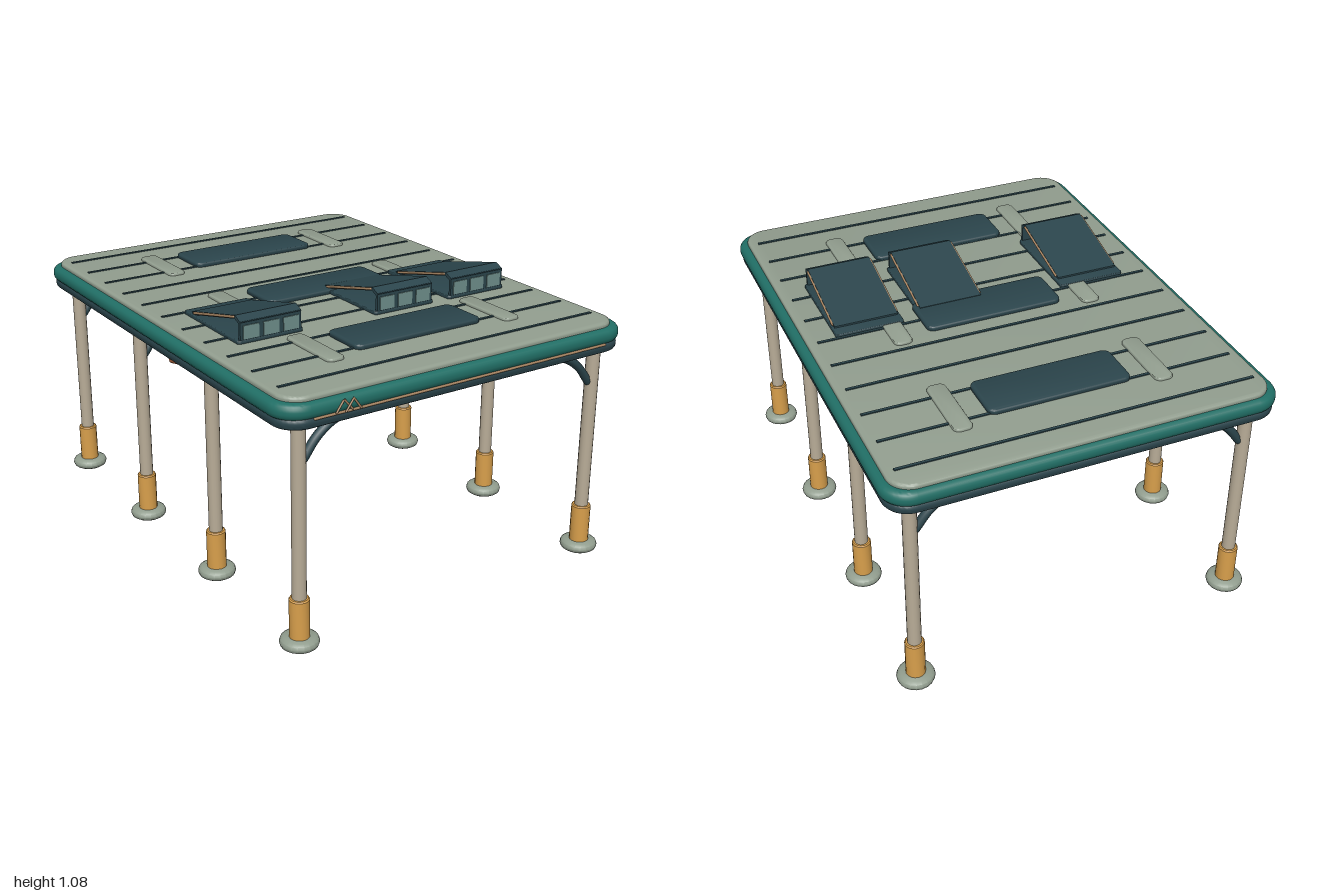
import * as THREE from 'three';
import { toCreasedNormals } from 'three/addons/utils/BufferGeometryUtils.js';

const material = (name, color) => new THREE.MeshStandardMaterial({ name, color });

export function createModel() {
  const model = new THREE.Group();
  model.name = 'canopy';
  const sage = material('sage', 0x929e8f);
  const teal = material('teal', 0x216f66);
  const slate = material('slate', 0x2b454c);
  const stone = material('stone', 0xb9ad98);
  const amber = material('amber', 0xd9a04c);
  const rust = material('rust', 0xb8683f);
  const glass = material('glass', 0x6f8f8b);
  const cord = material('cord', 0xa88562);

  const add = (parent, name, geometry, mat, x = 0, y = 0, z = 0) => {
    const mesh = new THREE.Mesh(geometry, mat);
    mesh.name = name;
    mesh.position.set(x, y, z);
    parent.add(mesh);
    return mesh;
  };

  // Horizontal slab with rounded corners and softened rim, standing on y = 0
  const slab = (w, d, h, r, bevel) => {
    const a = w / 2 - bevel, b = d / 2 - bevel, c = r - bevel;
    const s = new THREE.Shape();
    s.moveTo(-a + c, -b);
    s.lineTo(a - c, -b);
    s.absarc(a - c, -b + c, c, -Math.PI / 2, 0);
    s.absarc(a - c, b - c, c, 0, Math.PI / 2);
    s.absarc(-a + c, b - c, c, Math.PI / 2, Math.PI);
    s.absarc(-a + c, -b + c, c, Math.PI, Math.PI * 1.5);
    const g = new THREE.ExtrudeGeometry(s, {
      depth: h - 2 * bevel, bevelThickness: bevel, bevelSize: bevel,
      bevelSegments: 4, curveSegments: 8,
    });
    g.translate(0, 0, bevel);
    g.rotateX(-Math.PI / 2);
    return toCreasedNormals(g, 0.7);
  };

  // Round bar through a few points, with closed ends
  const bar = (parent, name, points, radius, mat, smooth = false) => {
    const v = points.map((p) => new THREE.Vector3(...p));
    let path;
    if (smooth) path = new THREE.CatmullRomCurve3(v);
    else {
      path = new THREE.CurvePath();
      for (let i = 1; i < v.length; i++) path.add(new THREE.LineCurve3(v[i - 1], v[i]));
    }
    const g = new THREE.Group();
    g.name = name;
    parent.add(g);
    add(g, name + 'Tube', new THREE.TubeGeometry(path, 16, radius, 8), mat);
    for (const e of [v[0], v[v.length - 1]]) {
      add(g, name + 'End', new THREE.SphereGeometry(radius, 8, 6), mat, e.x, e.y, e.z);
    }
  };

  // Roof layers
  add(model, 'roofBase', slab(1.53, 1.97, 0.045, 0.1, 0.018), slate, 0, 0.865, -0.004);
  add(model, 'roofRim', slab(1.55, 1.98, 0.06, 0.11, 0.025), teal, 0, 0.899, -0.005);
  add(model, 'roofTop', slab(1.484, 1.925, 0.03, 0.09, 0.012), sage, 0, 0.947, -0.006);

  // Seams across the roof
  for (let i = 0; i < 11; i++) {
    add(model, 'seam', new THREE.BoxGeometry(1.41, 0.008, 0.012), slate, 0, 0.977, -0.865 + i * 0.17);
  }

  // Roof panels, side pads, and the rod and struts beneath each
  for (const z of [-0.6, 0, 0.6]) {
    add(model, 'roofPanel', slab(0.57, 0.205, 0.025, 0.03, 0.008), slate, 0, 0.971, z - 0.008);
    bar(model, 'crossRod', [[-0.4, 0.862, z], [0.4, 0.862, z]], 0.007, cord);
    for (const s of [-1, 1]) {
      add(model, 'sidePad', slab(0.075, 0.295, 0.018, 0.025, 0.006), sage, s * 0.4, 0.97, z - 0.008);
      bar(model, 'strut', [
        [s * 0.2, 0.858, z + 0.16], [s * 0.29, 0.852, z - 0.01], [s * 0.405, 0.822, z - 0.19],
      ], 0.011, glass);
    }
  }

  // Legs with sleeves, feet and corner braces
  const footProfile = [[0, 0], [0.058, 0], [0.07, 0.008], [0.074, 0.02], [0.07, 0.032], [0.058, 0.04], [0, 0.04]]
    .map(([x, y]) => new THREE.Vector2(x, y));
  const footGeometry = toCreasedNormals(new THREE.LatheGeometry(footProfile, 20), 0.7);
  const sleeveProfile = [[0, 0], [0.038, 0], [0.038, 0.158], [0.034, 0.163], [0, 0.163]]
    .map(([x, y]) => new THREE.Vector2(x, y));
  const sleeveGeometry = toCreasedNormals(new THREE.LatheGeometry(sleeveProfile, 16), 0.6);
  const poleGeometry = new THREE.CylinderGeometry(0.027, 0.027, 0.7, 16);
  for (const s of [-1, 1]) {
    for (const z of [-0.903, -0.3, 0.3, 0.905]) {
      const leg = new THREE.Group();
      leg.name = 'leg';
      leg.position.set(s * 0.669, 0, z);
      model.add(leg);
      add(leg, 'pole', poleGeometry, stone, 0, 0.525, 0);
      add(leg, 'sleeve', sleeveGeometry, amber, 0, 0.033, 0);
      add(leg, 'foot', footGeometry, sage);
      if (z !== 0.3) {
        bar(leg, 'brace', [
          [-s * 0.02, 0.73, 0], [-s * 0.075, 0.8, 0], [-s * 0.14, 0.845, 0], [-s * 0.22, 0.865, 0],
        ], 0.017, slate, true);
      }
    }
    // Long slanted side brace
    bar(model, 'sideBrace', [
      [s * 0.575, 0.868, 0.47], [s * 0.612, 0.82, 0.2], [s * 0.63, 0.77, -0.085],
    ], 0.018, rust, true);
  }

  // Raised hatches: base, bent lid, glazed front and edge cords
  const lidShape = new THREE.Shape([
    [0.04, 0.984], [0.37, 1.064], [0.4, 1.05], [0.41, 1.06], [0.372, 1.078], [0.04, 0.998],
  ].map(([z, y]) => new THREE.Vector2(z, y)));
  const lidGeometry = new THREE.ExtrudeGeometry(lidShape, { depth: 0.26, bevelEnabled: false });
  lidGeometry.translate(0, 0, -0.13);
  lidGeometry.rotateY(-Math.PI / 2);
  for (const x of [-0.472, 0.133, 0.488]) {
    const hatch = new THREE.Group();
    hatch.name = 'hatch';
    hatch.position.x = x;
    model.add(hatch);
    add(hatch, 'hatchBase', slab(0.28, 0.42, 0.016, 0.012, 0.004), slate, 0, 0.975, 0.2);
    add(hatch, 'hatchLid', lidGeometry, slate);
    add(hatch, 'hatchFront', new THREE.BoxGeometry(0.26, 0.08, 0.012), slate, 0, 1.022, 0.402);
    for (const px of [-0.085, 0, 0.085]) {
      add(hatch, 'windowPane', new THREE.BoxGeometry(0.066, 0.052, 0.005), glass, px, 1.02, 0.409);
    }
    for (const s of [-1, 1]) {
      bar(hatch, 'edgeCord', [[s * 0.132, 0.997, 0.06], [s * 0.132, 1.07, 0.365]], 0.005, cord);
    }
  }

  // Front trim cord and a short zigzag lashing
  bar(model, 'trimCord', [[-0.65, 0.902, 0.98], [0.65, 0.902, 0.98]], 0.005, cord);
  bar(model, 'lashing', [[-0.57, 0.908, 0.988], [-0.54, 0.95, 0.988], [-0.505, 0.908, 0.988]], 0.004, cord);
  bar(model, 'lashing', [[-0.535, 0.908, 0.994], [-0.505, 0.95, 0.994], [-0.475, 0.908, 0.994]], 0.004, cord);

  return model;
}
